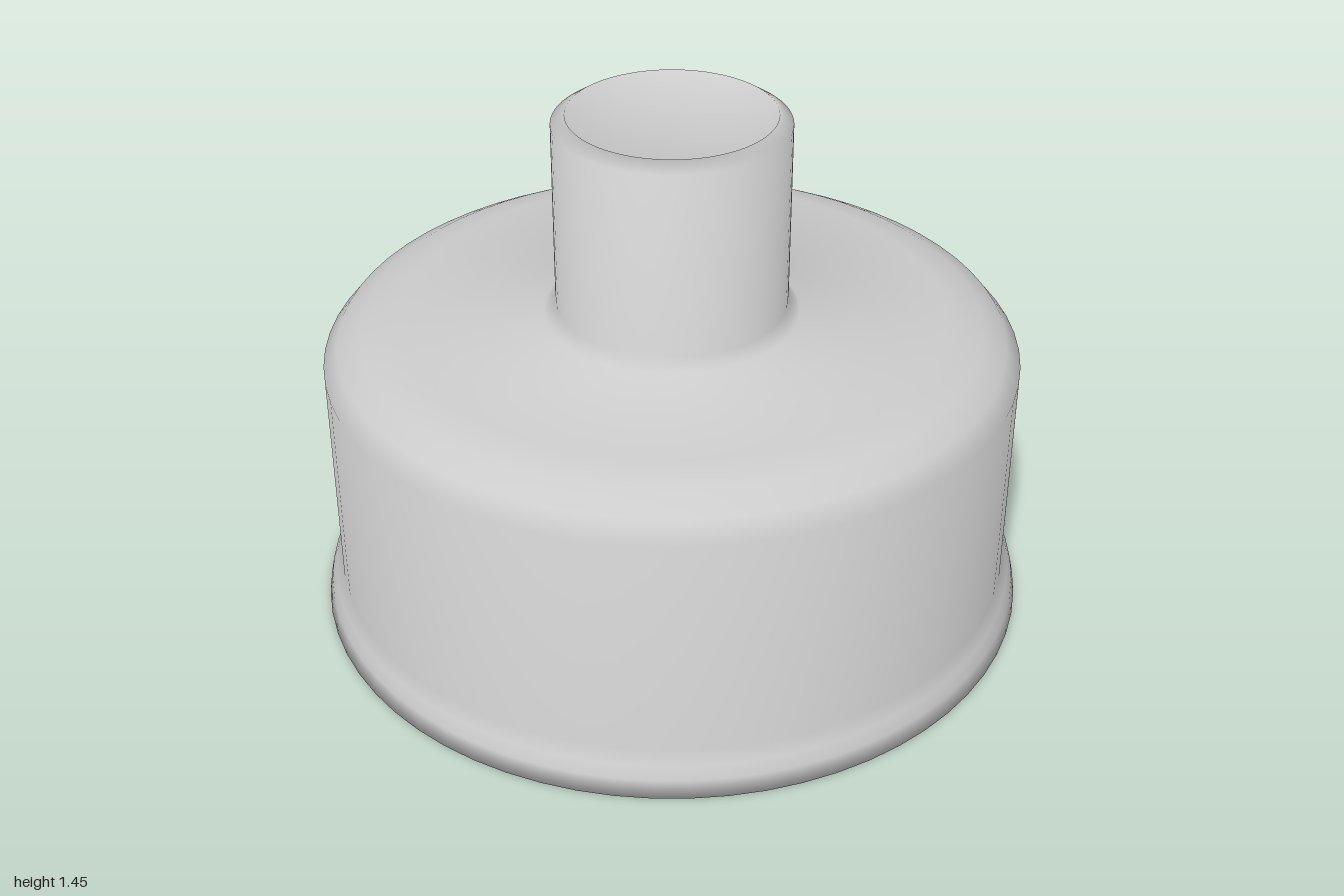
import * as THREE from 'three';

const SEGMENTS = 64;

// Closed outline [radius, height]: underside, skirt, body, neck, then the inner funnel back to the start
const OUTLINE = [
  [0.02, 0],
  [1, 0], [0.99, 0.05], [0.975, 0.085], [0.955, 0.12],
  [0.955, 0.76], [0.915, 0.81], [0.85, 0.845], [0.75, 0.87],
  [0.35, 0.87], [0.318, 0.9],
  [0.318, 1.425], [0.28, 1.45],
  [0.02, 0],
].map(([r, y]) => new THREE.Vector2(r, y));

// Spins a closed outline and gives every ring the even average of its two neighbouring slopes
function smoothClosedLathe(points, segments) {
  const geometry = new THREE.LatheGeometry(points, segments);
  const edges = points.length - 1;
  const edgeNormal = (i) => {
    const d = points[i + 1].clone().sub(points[i]).normalize();
    return new THREE.Vector2(d.y, -d.x);
  };
  const ringNormals = points.map((_, j) =>
    edgeNormal(j % edges).add(edgeNormal((j + edges - 1) % edges)).normalize());

  const normal = geometry.attributes.normal;
  for (let i = 0; i <= segments; i++) {
    const angle = (i / segments) * Math.PI * 2;
    ringNormals.forEach((n, j) => {
      normal.setXYZ(i * points.length + j, n.x * Math.sin(angle), n.y, n.x * Math.cos(angle));
    });
  }
  return geometry;
}

export function createModel() {
  const group = new THREE.Group();
  group.name = 'flangedNozzle';

  // Flared drum with a tubular neck and a tapered bore
  const body = new THREE.Mesh(
    smoothClosedLathe(OUTLINE, SEGMENTS),
    new THREE.MeshStandardMaterial({ color: 0xcccccc })
  );
  body.name = 'drumWithNeckAndFunnel';
  group.add(body);

  return group;
}
